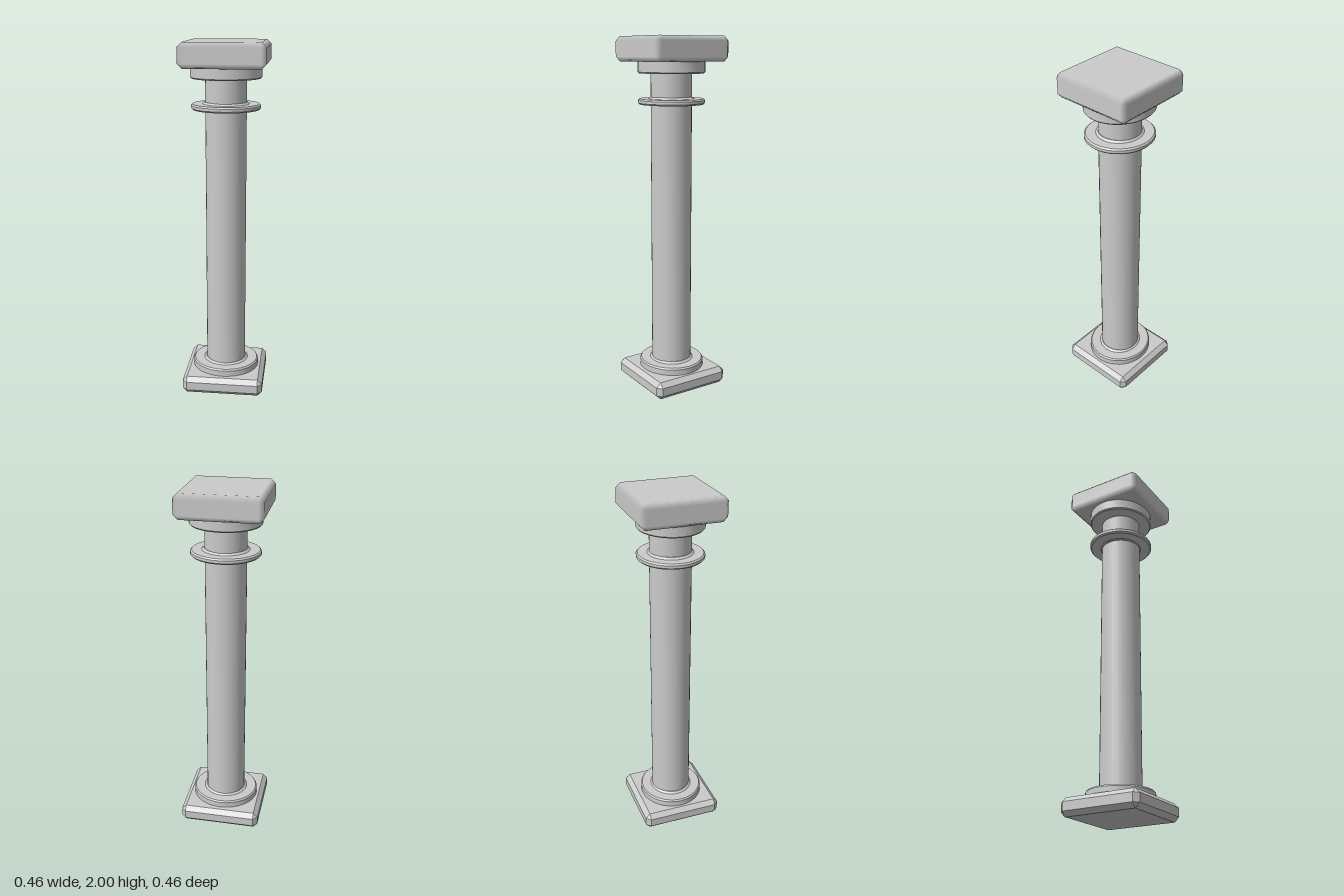
import * as THREE from 'three';
import { ConvexGeometry } from 'three/addons/geometries/ConvexGeometry.js';
import { toCreasedNormals } from 'three/addons/utils/BufferGeometryUtils.js';

const material = new THREE.MeshStandardMaterial({ color: 0xcccccc });

// Box with chamfered edges and corners; smooth blends the chamfers into the flat faces
function chamferedSlab(name, half, y0, y1, bevel, smooth) {
  const size = [half, (y1 - y0) / 2, half];
  const points = [];
  for (let axis = 0; axis < 3; axis++)
    for (const sx of [-1, 1]) for (const sy of [-1, 1]) for (const sz of [-1, 1]) {
      const c = size.map((s, i) => (i === axis ? s : s - bevel));
      points.push(new THREE.Vector3(sx * c[0], sy * c[1], sz * c[2]));
    }
  const geometry = new ConvexGeometry(points);
  if (smooth) {
    const pos = geometry.attributes.position;
    for (let v = 0; v < pos.count; v++) {
      const p = [pos.getX(v), pos.getY(v), pos.getZ(v)];
      const n = p.map((c, i) => (Math.abs(c) > size[i] - bevel / 2 ? Math.sign(c) : 0));
      geometry.attributes.normal.setXYZ(v, ...n);
    }
  }
  const mesh = new THREE.Mesh(geometry, material);
  mesh.name = name;
  mesh.position.y = (y0 + y1) / 2;
  return mesh;
}

// Turned part from a [radius, height] profile, slightly narrower in z where asked
function turned(name, profile, depth = 1) {
  const points = profile.map(([r, y]) => new THREE.Vector2(r, y));
  const geometry = toCreasedNormals(new THREE.LatheGeometry(points, 32), 0.6);
  geometry.scale(1, 1, depth);
  const mesh = new THREE.Mesh(geometry, material);
  mesh.name = name;
  return mesh;
}

export function createModel() {
  const column = new THREE.Group();
  column.name = 'column';

  column.add(
    // Square plinth and its round moulding
    chamferedSlab('plinth', 0.232, 0, 0.1, 0.026, false),
    turned('baseMoulding', [
      [0, 0.095], [0.193, 0.095], [0.193, 0.133], [0.186, 0.142],
      [0.13, 0.142], [0.118, 0.152], [0, 0.152],
    ], 0.95),

    // Plain shaft
    turned('shaft', [[0, 0.09], [0.114, 0.09], [0.114, 1.87], [0, 1.87]]),

    // Thin collar near the top
    turned('collar', [
      [0, 1.628], [0.118, 1.628], [0.125, 1.634], [0.184, 1.634], [0.192, 1.642], [0.192, 1.657],
      [0.184, 1.665], [0.13, 1.665], [0.118, 1.675], [0, 1.675],
    ], 0.955),

    // Round capital under the square top slab
    turned('capital', [
      [0, 1.802], [0.19, 1.802], [0.196, 1.809], [0.196, 1.87], [0, 1.87],
    ], 0.925),
    chamferedSlab('abacus', 0.232, 1.865, 2, 0.026, true),
  );
  return column;
}
